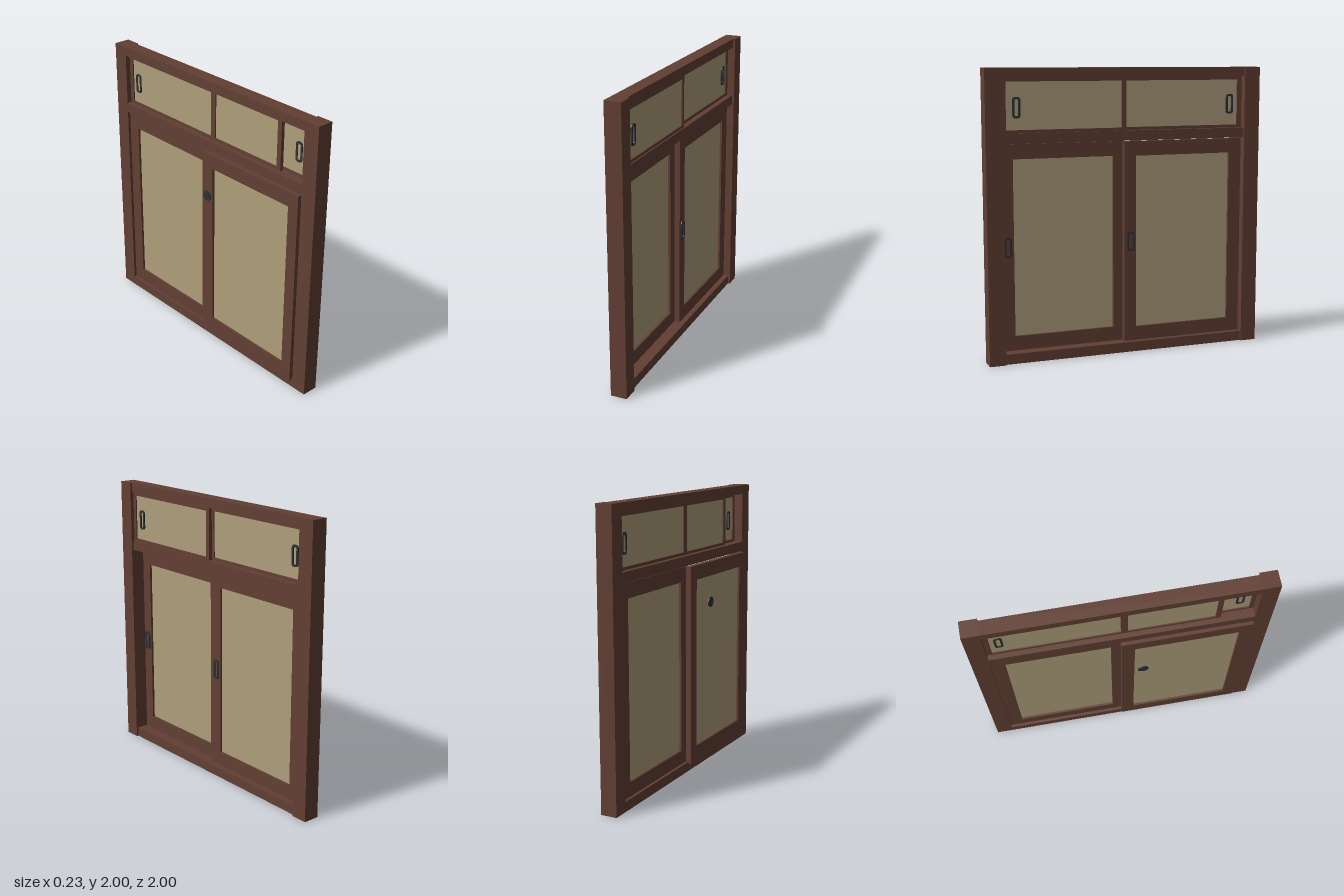
import * as THREE from 'three';

const wood = new THREE.MeshStandardMaterial({ color: 0x623f33 });
wood.name = 'brown wood';
const pane = new THREE.MeshStandardMaterial({ color: 0xaf9f7b });
pane.name = 'tan pane';
const iron = new THREE.MeshStandardMaterial({ color: 0x2d3235 });
iron.name = 'dark iron';

// Box given by its limits on each axis
function block(name, mat, [x0, x1], [y0, y1], [z0, z1]) {
  const mesh = new THREE.Mesh(new THREE.BoxGeometry(x1 - x0, y1 - y0, z1 - z0), mat);
  mesh.position.set((x0 + x1) / 2, (y0 + y1) / 2, (z0 + z1) / 2);
  mesh.name = name;
  return mesh;
}

// Framed panel: outer limits, then the limits of the glazed opening
function sash(name, x, y, z, gy, gz) {
  const g = new THREE.Group();
  g.name = name;
  const mid = (x[0] + x[1]) / 2;
  g.add(
    block('stile', wood, x, y, [z[0], gz[0]]),
    block('stile', wood, x, y, [gz[1], z[1]]),
    block('bottomRail', wood, x, [y[0], gy[0]], gz),
    block('topRail', wood, x, [gy[1], y[1]], gz),
    block('pane', pane, [mid - 0.004, mid + 0.004], gy, gz)
  );
  return g;
}

// Rounded upright outline, centred on the origin
function roundedOutline(target, w, h, r) {
  const a = w / 2 - r, b = h / 2 - r;
  target.absarc(a, b, r, 0, Math.PI / 2);
  target.absarc(-a, b, r, Math.PI / 2, Math.PI);
  target.absarc(-a, -b, r, Math.PI, Math.PI * 1.5);
  target.absarc(a, -b, r, Math.PI * 1.5, Math.PI * 2);
  target.closePath();
  return target;
}

// Oblong pull ring, from x0 to x1
function pull(name, x0, x1, y, z) {
  const shape = roundedOutline(new THREE.Shape(), 0.055, 0.14, 0.02);
  shape.holes.push(roundedOutline(new THREE.Path(), 0.027, 0.112, 0.01));
  const geo = new THREE.ExtrudeGeometry(shape, { depth: x1 - x0, bevelEnabled: false, curveSegments: 5 });
  geo.rotateY(Math.PI / 2);
  const mesh = new THREE.Mesh(geo, iron);
  mesh.position.set(x0, y, z);
  mesh.name = name;
  return mesh;
}

export function createModel() {
  const model = new THREE.Group();
  model.name = 'slidingDoorUnit';

  // Outer frame: two posts and three cross rails
  for (const s of [-1, 1]) {
    const z = s > 0 ? [0.884, 1] : [-1, -0.884];
    model.add(block('post', wood, [0, 0.115], [0, 2], z));
  }
  const span = [-0.884, 0.884];
  model.add(
    block('bottomRail', wood, [0, 0.1], [0, 0.07], span),
    block('middleRail', wood, [0, 0.1], [1.5, 1.57], span),
    block('topRail', wood, [0, 0.1], [1.935, 2], span)
  );

  // Lower sliding doors on two tracks
  const doorY = [0.06, 1.492], doorGlassY = [0.17, 1.39];
  model.add(
    sash('rearDoor', [-0.022, 0.018], doorY, [-0.01, 0.879], doorGlassY, [0.08, 0.795]),
    sash('frontDoor', [0.02, 0.06], doorY, [-0.884, 0.01], doorGlassY, [-0.79, -0.075])
  );

  // Upper sliding windows
  const winY = [1.57, 1.935], winGlassY = [1.59, 1.91];
  model.add(
    sash('frontWindow', [0.065, 0.09], winY, [0.01, 0.884], winGlassY, [0.04, 0.855]),
    sash('rearWindow', [0.035, 0.06], winY, [-0.884, 0.03], winGlassY, [-0.85, -0.005]),
    sash('innerWindow', [0.035, 0.06], winY, [0.03, 0.66], winGlassY, [0.04, 0.625])
  );

  // Pulls
  model.add(
    pull('doorPull', 0.012, 0.026, 0.79, 0.838),
    pull('doorPull', 0.054, 0.068, 0.79, -0.035),
    pull('windowPull', 0.068, 0.09, 1.738, 0.783),
    pull('windowPull', 0.037, 0.06, 1.738, -0.792)
  );

  // Detached round knob plate behind the rear door
  const knob = new THREE.Mesh(new THREE.CylinderGeometry(0.037, 0.037, 0.008, 12), iron);
  knob.rotation.z = Math.PI / 2;
  knob.position.set(-0.111, 1.235, 0.122);
  knob.name = 'knobPlate';
  model.add(knob);

  return model;
}
